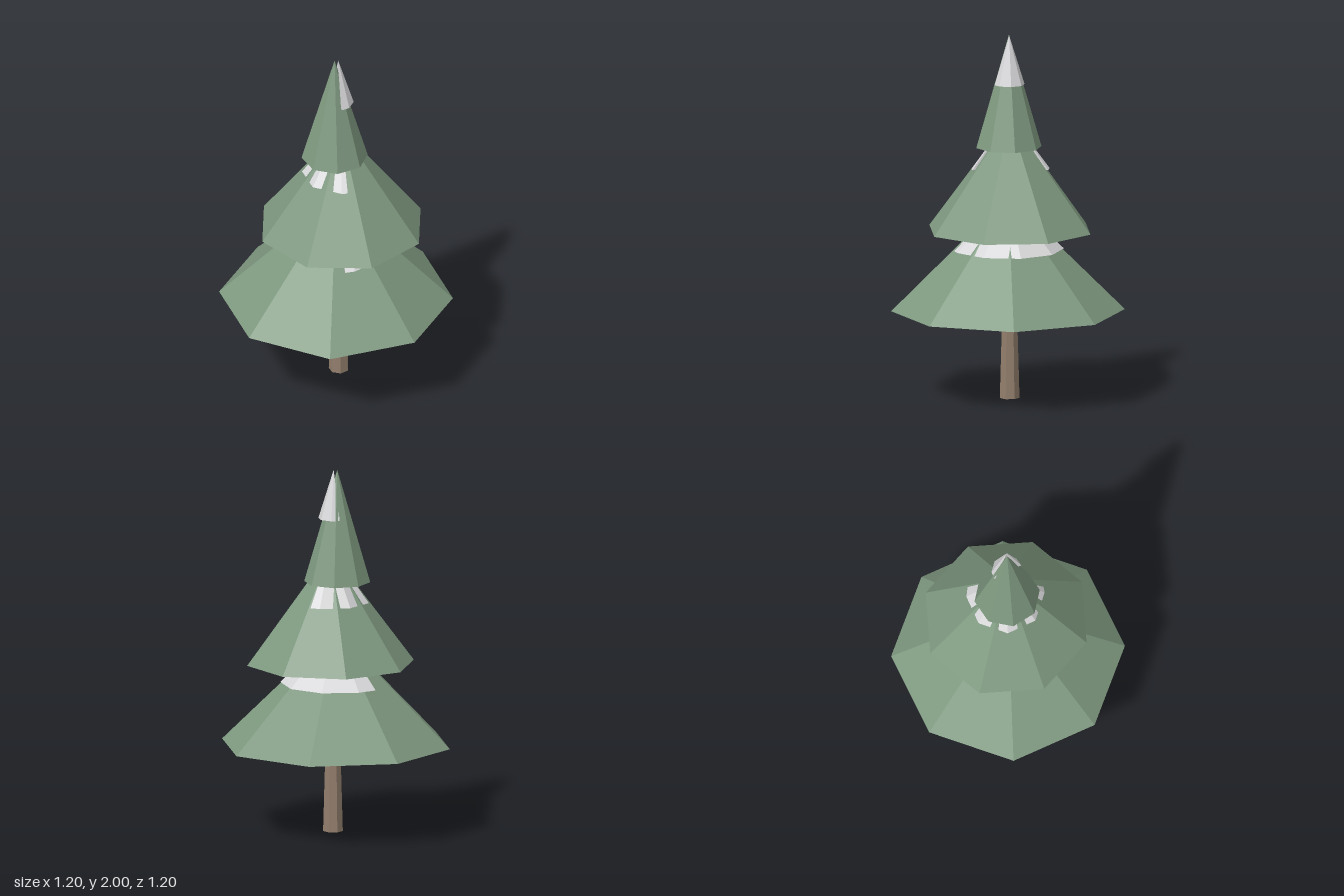
import * as THREE from 'three';

const rad = THREE.MathUtils.degToRad;

function material(name, color) {
  const m = new THREE.MeshStandardMaterial({ color, flatShading: true });
  m.name = name;
  return m;
}

// Closed partial cone: sloped facets between the given angles, plus underside and end walls.
function partialCone(radius, yBase, yApex, degrees) {
  const pos = [];
  const apex = [0, yApex, 0];
  const centre = [0, yBase, 0];
  const rim = degrees.map((d) => [radius * Math.sin(rad(d)), yBase, radius * Math.cos(rad(d))]);
  for (let i = 0; i < rim.length - 1; i++) {
    pos.push(...apex, ...rim[i], ...rim[i + 1]);
    pos.push(...centre, ...rim[i + 1], ...rim[i]);
  }
  pos.push(...apex, ...centre, ...rim[0]);
  pos.push(...apex, ...rim[rim.length - 1], ...centre);
  const geo = new THREE.BufferGeometry();
  geo.setAttribute('position', new THREE.Float32BufferAttribute(pos, 3));
  geo.computeVertexNormals();
  return geo;
}

export function createModel() {
  const tree = new THREE.Group();
  tree.name = 'snowyPineTree';
  const needles = material('needle green', 0x7f9980);
  const bark = material('bark brown', 0x927e6c);
  const snow = material('snow white', 0xd8d8da);

  const add = (name, geo, mat, x, y, z) => {
    const mesh = new THREE.Mesh(geo, mat);
    mesh.name = name;
    mesh.position.set(x, y, z);
    tree.add(mesh);
  };

  // Tapered trunk, running up inside the lowest tier
  add('trunk', new THREE.CylinderGeometry(0.039, 0.055, 0.56, 7, 1, false, rad(-13)), bark, 0.017, 0.28, 0);

  // Three eight-sided foliage tiers, each turned a little differently
  const tiers = [
    { name: 'lowerFoliage', r: 0.635, y0: 0.48, y1: 1.11, x: 0, z: 0, turn: 18.5 },
    { name: 'middleFoliage', r: 0.46, y0: 0.93, y1: 1.55, x: 0.03, z: 0.005, turn: -2.5 },
    { name: 'upperFoliage', r: 0.18, y0: 1.38, y1: 2.0, x: -0.005, z: -0.008, turn: 26.5 },
  ];
  for (const t of tiers) {
    const geo = new THREE.ConeGeometry(t.r, t.y1 - t.y0, 8, 1, false, rad(t.turn));
    add(t.name, geo, needles, t.x, (t.y0 + t.y1) / 2, t.z);
  }

  // Snow lying on one side of each tier
  add('lowerSnow', partialCone(0.303, 0.82, 1.125, [-14, -4, 35, 74, 113, 152, 191, 212]), snow, 0, 0, 0);
  add('middleSnow', partialCone(0.213, 1.27, 1.56, [136, 151, 197, 244, 290, 337, 346]), snow, 0.03, 0, 0.002);
  add('upperSnow', partialCone(0.084, 1.73, 2.0, [-10, 22, 68, 113, 158, 190]), snow, 0.013, 0, 0);

  return tree;
}
